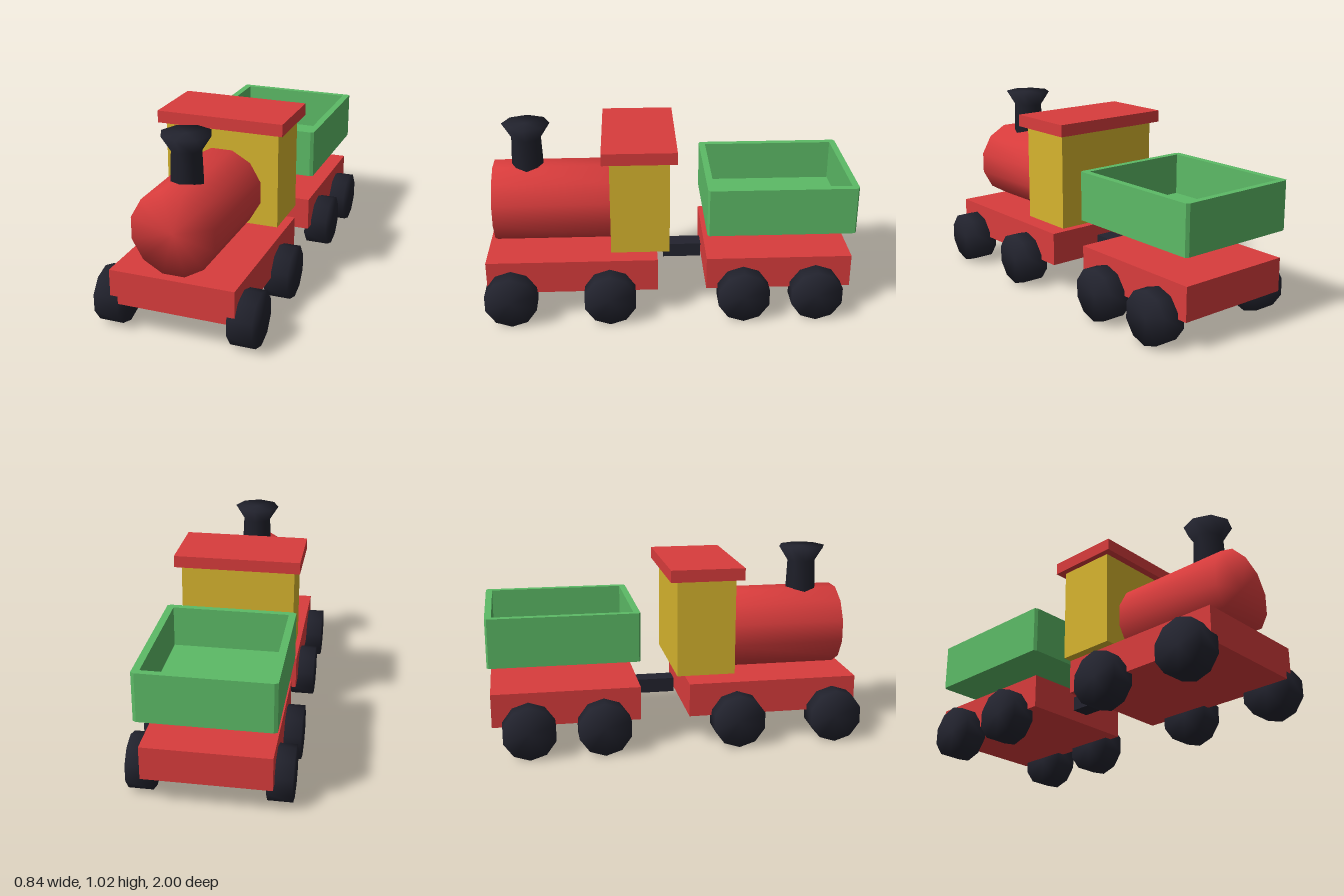
import * as THREE from 'three';
import { mergeVertices } from 'three/addons/utils/BufferGeometryUtils.js';

const material = (name, color) => {
  const m = new THREE.MeshStandardMaterial({ color });
  m.name = name;
  return m;
};

// Weld a solid so that its normals run softly over every edge
function soften(geometry) {
  geometry.deleteAttribute('normal');
  geometry.deleteAttribute('uv');
  const welded = mergeVertices(geometry, 1e-4);
  welded.computeVertexNormals();
  return welded;
}

export function createModel() {
  const red = material('red', 0xd83c3c);
  const yellow = material('yellow', 0xd6b42e);
  const green = material('green', 0x5cba66);
  const black = material('black', 0x22232e);

  const model = new THREE.Group();
  model.name = 'toyTrain';

  function add(parent, name, geometry, mat, x = 0, y = 0, z = 0) {
    const mesh = new THREE.Mesh(geometry, mat);
    mesh.name = name;
    mesh.position.set(x, y, z);
    parent.add(mesh);
    return mesh;
  }

  // Box centred on x, given half width and y and z limits
  function box(parent, name, mat, halfX, y0, y1, z0, z1) {
    return add(parent, name, new THREE.BoxGeometry(halfX * 2, y1 - y0, z1 - z0),
      mat, 0, (y0 + y1) / 2, (z0 + z1) / 2);
  }

  const engine = new THREE.Group();
  engine.name = 'engine';
  const wagon = new THREE.Group();
  wagon.name = 'wagon';
  model.add(engine, wagon);

  // Engine body
  box(engine, 'engineChassis', red, 0.33, 0.16, 0.342, 0.065, 0.99);
  box(engine, 'cab', yellow, 0.312, 0.385, 0.905, 0, 0.315);
  box(engine, 'roof', red, 0.345, 0.905, 0.97, -0.04, 0.355);

  // Twelve-sided boiler with flat top and sides
  const boiler = new THREE.CylinderGeometry(0.2245, 0.2245, 0.655, 12, 1, false, Math.PI / 12);
  boiler.rotateX(Math.PI / 2);
  add(engine, 'boiler', soften(boiler), red, 0, 0.568, 0.6225);

  // Flared eight-sided chimney
  const profile = [[0, 0.7], [0.09, 0.7], [0.08, 0.938], [0.13, 1.017], [0, 1.017]];
  const chimney = new THREE.LatheGeometry(profile.map(([r, y]) => new THREE.Vector2(r, y)), 8);
  add(engine, 'chimney', soften(chimney), black, 0, 0, 0.763);

  // Coupling and wagon
  box(model, 'coupling', black, 0.05, 0.212, 0.29, -0.187, 0.025);
  box(wagon, 'wagonChassis', red, 0.33, 0.16, 0.342, -0.99, -0.2);

  // Open tub: chamfered rim wall around a floor
  const hx = 0.348, hz = 0.4, cx = 0.018, cz = 0.01;
  const outline = new THREE.Shape([
    [hx - cx, -hz], [hx, -hz + cz], [hx, hz - cz], [hx - cx, hz],
    [-hx + cx, hz], [-hx, hz - cz], [-hx, -hz + cz], [-hx + cx, -hz],
  ].map(([x, z]) => new THREE.Vector2(x, z)));
  const extrude = (shape, depth) => new THREE.ExtrudeGeometry(shape, { depth, bevelEnabled: false })
    .rotateX(-Math.PI / 2);
  add(wagon, 'tubFloor', extrude(outline.clone(), 0.04), green, 0, 0.49, -0.6);
  const rim = outline.clone();
  rim.holes.push(new THREE.Path([
    [-0.31, -0.365], [-0.31, 0.365], [0.31, 0.365], [0.31, -0.365],
  ].map(([x, z]) => new THREE.Vector2(x, z))));
  add(wagon, 'tubWalls', extrude(rim, 0.222), green, 0, 0.53, -0.6);

  // Ten-sided wheels, a corner at the bottom
  const wheel = soften(new THREE.CylinderGeometry(0.145, 0.145, 0.13, 10)
    .rotateX(Math.PI / 2).rotateY(Math.PI / 2));
  for (const z of [0.86, 0.325, -0.4, -0.797]) {
    for (const side of [1, -1]) {
      add(z > 0 ? engine : wagon, side > 0 ? 'leftWheel' : 'rightWheel', wheel, black,
        side * 0.355, 0.145, z);
    }
  }
  return model;
}
